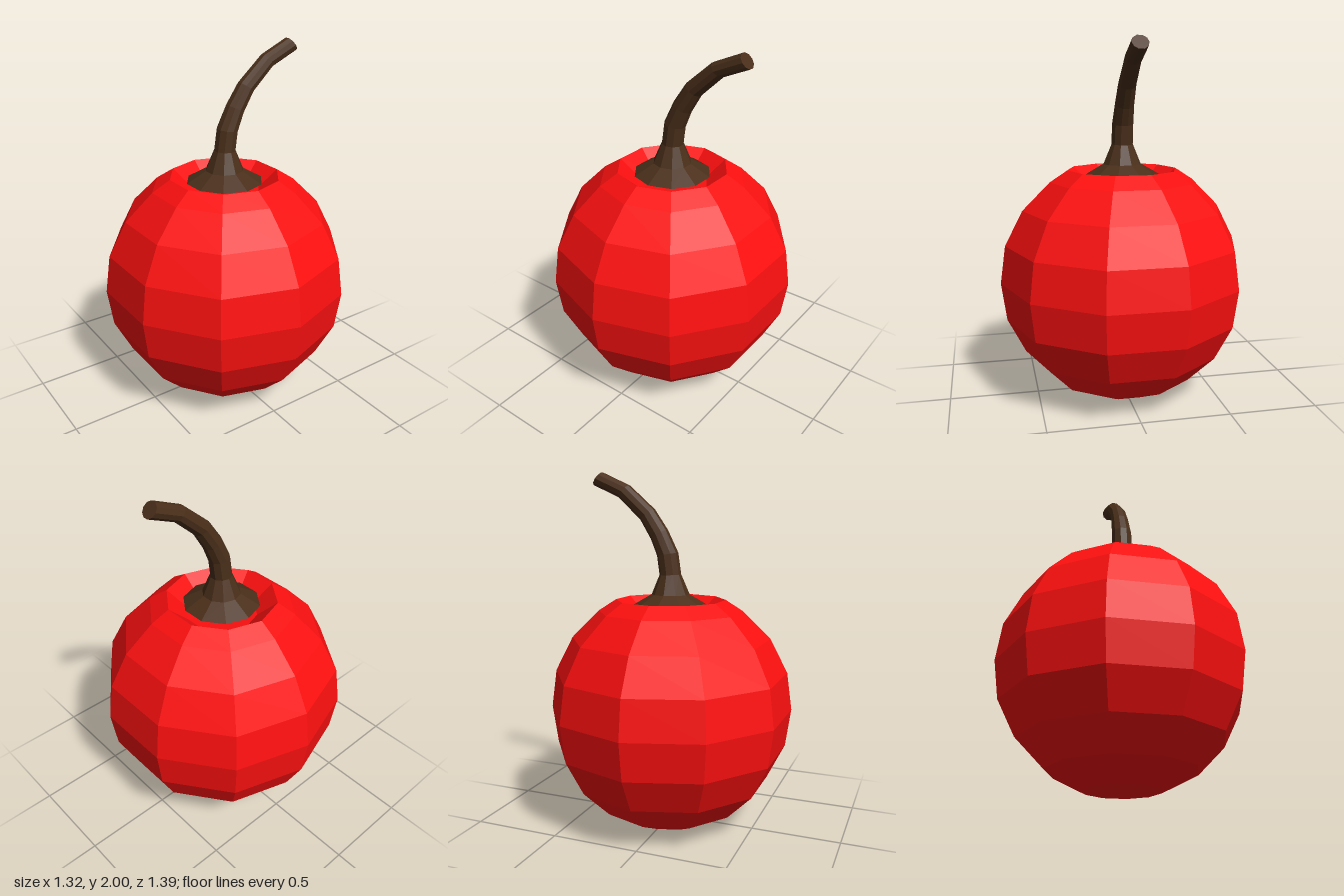
import * as THREE from 'three';

const SIDES = 10;

// Skin a row of tilted rings ({x, y, r, tilt from vertical toward +x}) and cap both ends
function loftRings(rings) {
  const pos = [], idx = [];
  for (const { x, y, r, tilt } of rings) {
    for (let i = 0; i < SIDES; i++) {
      const a = (i / SIDES) * Math.PI * 2;
      const u = r * Math.sin(a);
      pos.push(x + u * Math.cos(tilt), y - u * Math.sin(tilt), r * Math.cos(a));
    }
  }
  for (let k = 0; k < rings.length - 1; k++) {
    for (let i = 0; i < SIDES; i++) {
      const j = (i + 1) % SIDES;
      const a = k * SIDES + i, b = k * SIDES + j;
      idx.push(a, b, b + SIDES, a, b + SIDES, a + SIDES);
    }
  }
  const last = (rings.length - 1) * SIDES;
  for (let i = 1; i < SIDES - 1; i++) {
    idx.push(0, i + 1, i);
    idx.push(last, last + i, last + i + 1);
  }
  const geo = new THREE.BufferGeometry();
  geo.setAttribute('position', new THREE.Float32BufferAttribute(pos, 3));
  geo.setIndex(idx);
  geo.computeVertexNormals();
  return geo;
}

export function createModel() {
  const model = new THREE.Group();
  model.name = 'fruit';

  // Ten-sided body with a flat base and a dimple at the top
  const profile = [
    [0, 0], [0.21, 0], [0.41, 0.1], [0.565, 0.255], [0.665, 0.45], [0.695, 0.665],
    [0.665, 0.88], [0.565, 1.075], [0.41, 1.23], [0.31, 1.295], [0.2, 1.2], [0, 1.18],
  ].map(([r, y]) => new THREE.Vector2(r, y));
  const body = new THREE.Mesh(
    new THREE.LatheGeometry(profile, SIDES),
    new THREE.MeshStandardMaterial({ color: 0xff1010, flatShading: true })
  );
  body.name = 'body';
  model.add(body);

  // Stem: flared foot, then a tapering curve toward +x
  const rings = [
    [0, 1.262, 0.215, 0], [0, 1.325, 0.107, 0], [0.002, 1.435, 0.061, 2],
    [0.018, 1.548, 0.06, 9], [0.068, 1.657, 0.054, 28], [0.138, 1.765, 0.05, 36],
    [0.28, 1.893, 0.046, 47], [0.442, 1.965, 0.045, 53],
  ].map(([x, y, r, deg]) => ({ x, y, r, tilt: THREE.MathUtils.degToRad(deg) }));
  const stem = new THREE.Mesh(
    loftRings(rings),
    new THREE.MeshStandardMaterial({ color: 0x4a2f1a, flatShading: true })
  );
  stem.name = 'stem';
  model.add(stem);

  return model;
}
